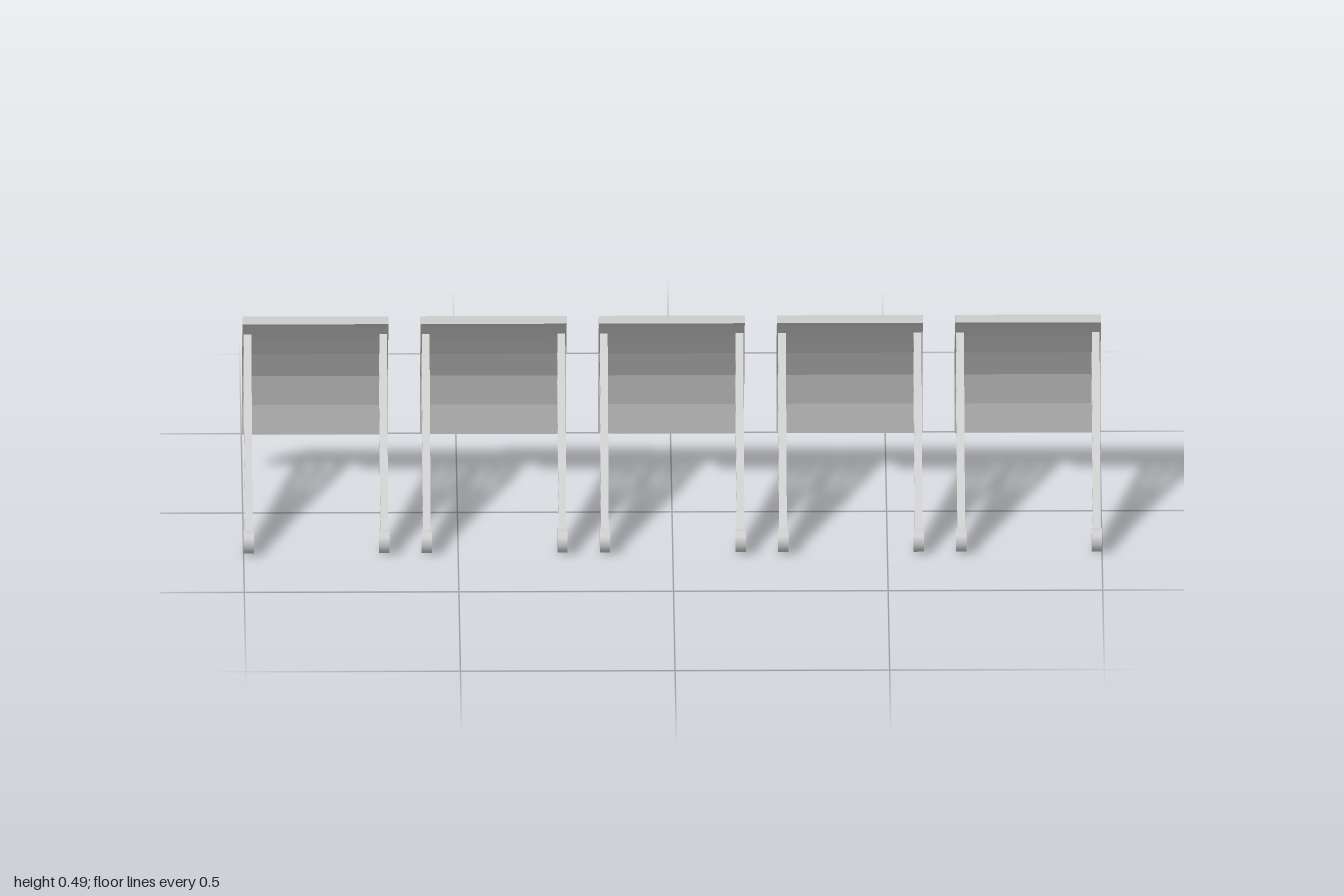
import * as THREE from 'three';

const mat = new THREE.MeshStandardMaterial({ color: 0xcccccc, flatShading: true });
const steel = new THREE.MeshStandardMaterial({ color: 0xcccccc });

const GATES = 5, PITCH = 0.415, WIDTH = 0.34;
const FOOT = { z: 0.25, y: 0.028, r: 0.028, w: 0.024 };
const ARM_W = 0.018;

// Curved plate section as [z, y], outer face going up, inner face coming down
const outer = [[-0.274, 0.097], [-0.267, 0.179], [-0.244, 0.262], [-0.206, 0.333], [-0.154, 0.397], [-0.088, 0.451], [-0.013, 0.487]];
const inner = [[-0.004, 0.471], [-0.078, 0.435], [-0.14, 0.383], [-0.19, 0.322], [-0.226, 0.253], [-0.247, 0.172], [-0.255, 0.095]];

// Three arms fanning out from the pivot: start, end, thickness
const arms = [
  ['upperArm', [0.245, 0.047], [-0.128, 0.396], 0.02],
  ['middleArm', [0.244, 0.031], [-0.198, 0.322], 0.0145],
  ['lowerArm', [0.235, 0.019], [-0.24, 0.234], 0.019],
];
// Cross struts: points on the upper, middle and lower arm
const struts = [
  [[0.135, 0.149], [0.112, 0.121], [0.094, 0.081]],
  [[0.035, 0.238], [-0.001, 0.196], [-0.028, 0.14]],
  [[-0.051, 0.317], [-0.099, 0.263], [-0.133, 0.194]],
];

// Straight bar between two [z, y] points
function bar(name, a, b, thick, width) {
  const dz = b[0] - a[0], dy = b[1] - a[1];
  const mesh = new THREE.Mesh(new THREE.BoxGeometry(width, thick, Math.hypot(dz, dy)), mat);
  mesh.name = name;
  mesh.position.set(0, (a[1] + b[1]) / 2, (a[0] + b[0]) / 2);
  mesh.rotation.x = -Math.atan2(dy, dz);
  return mesh;
}

// Side frame: pivot foot, arms and struts
function sideFrame() {
  const frame = new THREE.Group();
  const foot = new THREE.Mesh(new THREE.CylinderGeometry(FOOT.r, FOOT.r, FOOT.w, 28).rotateZ(Math.PI / 2), steel);
  foot.name = 'pivotFoot';
  foot.position.set(0, FOOT.y, FOOT.z);
  frame.add(foot);
  for (const [name, a, b, t] of arms) frame.add(bar(name, a, b, t, ARM_W));
  for (const [top, mid, low] of struts) {
    frame.add(bar('upperStrut', top, mid, 0.018, ARM_W - 0.002));
    frame.add(bar('lowerStrut', mid, low, 0.018, ARM_W - 0.002));
  }
  return frame;
}

// Curved plate spanning one gate
function skinPlate() {
  const shape = new THREE.Shape([...outer, ...inner].map(([z, y]) => new THREE.Vector2(z, y)));
  const geo = new THREE.ExtrudeGeometry(shape, { depth: WIDTH, bevelEnabled: false });
  geo.translate(0, 0, -WIDTH / 2).rotateY(-Math.PI / 2);
  const mesh = new THREE.Mesh(geo, mat);
  mesh.name = 'curvedPlate';
  return mesh;
}

export function createModel() {
  const model = new THREE.Group();
  model.name = 'radialGates';
  for (let i = 0; i < GATES; i++) {
    const gate = new THREE.Group();
    gate.name = 'gate' + (i + 1);
    gate.position.x = (i - (GATES - 1) / 2) * PITCH;
    gate.add(skinPlate());
    for (const side of [-1, 1]) {
      const frame = sideFrame();
      frame.name = side > 0 ? 'leftFrame' : 'rightFrame';
      frame.position.x = side * (WIDTH - FOOT.w) / 2;
      gate.add(frame);
    }
    model.add(gate);
  }
  return model;
}
